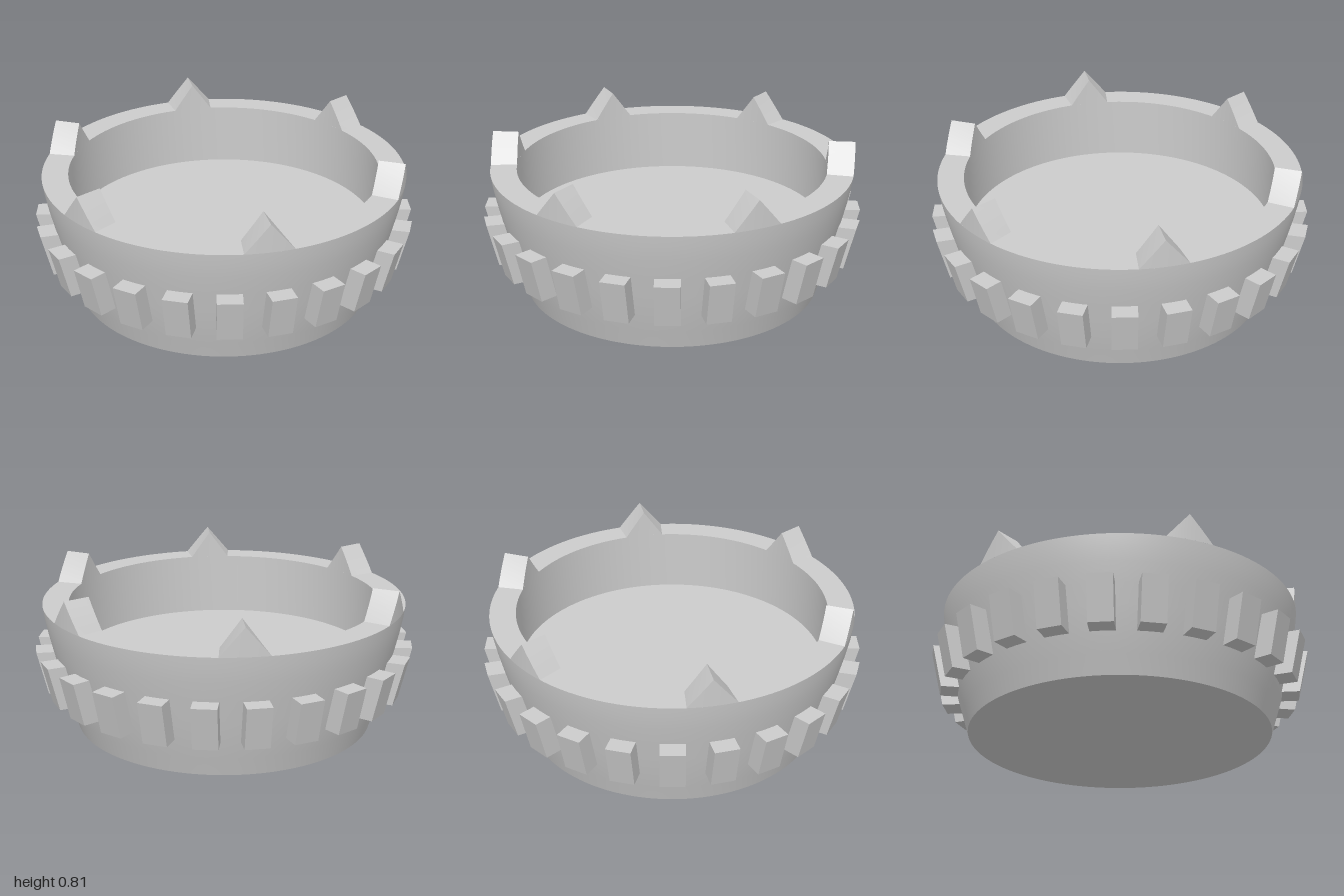
import * as THREE from 'three';
import { toCreasedNormals } from 'three/addons/utils/BufferGeometryUtils.js';

const RIM_Y = 0.665, PEAK_Y = 0.81, R_IN = 0.815, R_OUT = 0.952, FLOOR_Y = 0.33;
const deg = THREE.MathUtils.degToRad;

// Triangular spike bent along the rim: a roof-shaped height over an arc of the ring
function spikeGeometry(halfAngle, steps) {
  const pos = [], idx = [];
  for (let i = 0; i <= steps; i++) {
    const t = (i / steps) * 2 - 1, a = t * halfAngle;
    const top = RIM_Y + (PEAK_Y - RIM_Y) * (1 - Math.abs(t));
    for (const [r, y] of [[R_OUT, RIM_Y], [R_OUT, top], [R_IN, top], [R_IN, RIM_Y]]) {
      pos.push(r * Math.sin(a), y, r * Math.cos(a));
    }
  }
  for (let i = 0; i < steps; i++) {
    for (let j = 0; j < 3; j++) {
      const a = i * 4 + j, b = a + 4;
      idx.push(a, b, b + 1, a, b + 1, a + 1);
    }
  }
  const g = new THREE.BufferGeometry();
  g.setAttribute('position', new THREE.Float32BufferAttribute(pos, 3));
  g.setIndex(idx);
  return toCreasedNormals(g, deg(25));
}

// Slanted block whose outer face leans outwards towards the top
function studGeometry(width) {
  const s = new THREE.Shape([[0.82, 0.2], [0.942, 0.2], [0.996, 0.428], [0.86, 0.428]]
    .map(([r, y]) => new THREE.Vector2(r, y)));
  const g = new THREE.ExtrudeGeometry(s, { depth: width, bevelEnabled: false });
  g.translate(0, 0, -width / 2);
  g.rotateY(-Math.PI / 2); // radial direction now points to +z
  return g;
}

export function createModel() {
  const model = new THREE.Group();
  const mat = new THREE.MeshStandardMaterial({ color: 0xcccccc });

  const add = (parent, name, geometry, angle = 0) => {
    const mesh = new THREE.Mesh(geometry, mat);
    mesh.name = name;
    mesh.rotation.y = angle;
    parent.add(mesh);
  };

  // Bowl: flared outside, flat rim, straight inner wall, raised floor
  const profile = [
    [0, 0], [0.79, 0], [0.82, 0.1], [0.851, 0.2], [0.88, 0.32], [0.907, 0.43],
    [0.93, 0.53], [0.945, 0.61], [R_OUT, RIM_Y],
    [R_IN, RIM_Y], [R_IN, FLOOR_Y], [0, FLOOR_Y],
  ].map(([r, y]) => new THREE.Vector2(r, y));
  add(model, 'bowl', toCreasedNormals(new THREE.LatheGeometry(profile, 120), deg(30)));

  // Spikes along the rim
  const spikes = new THREE.Group();
  spikes.name = 'rimSpikes';
  const spike = spikeGeometry(deg(7.4), 8);
  for (let i = 0; i < 6; i++) add(spikes, 'rimSpike', spike, deg(15 + i * 60));
  model.add(spikes);

  // Band of studs around the outside
  const studs = new THREE.Group();
  studs.name = 'studBand';
  const stud = studGeometry(0.125);
  for (let i = 0; i < 24; i++) add(studs, 'stud', stud, deg(3.75 + i * 15));
  model.add(studs);

  return model;
}
